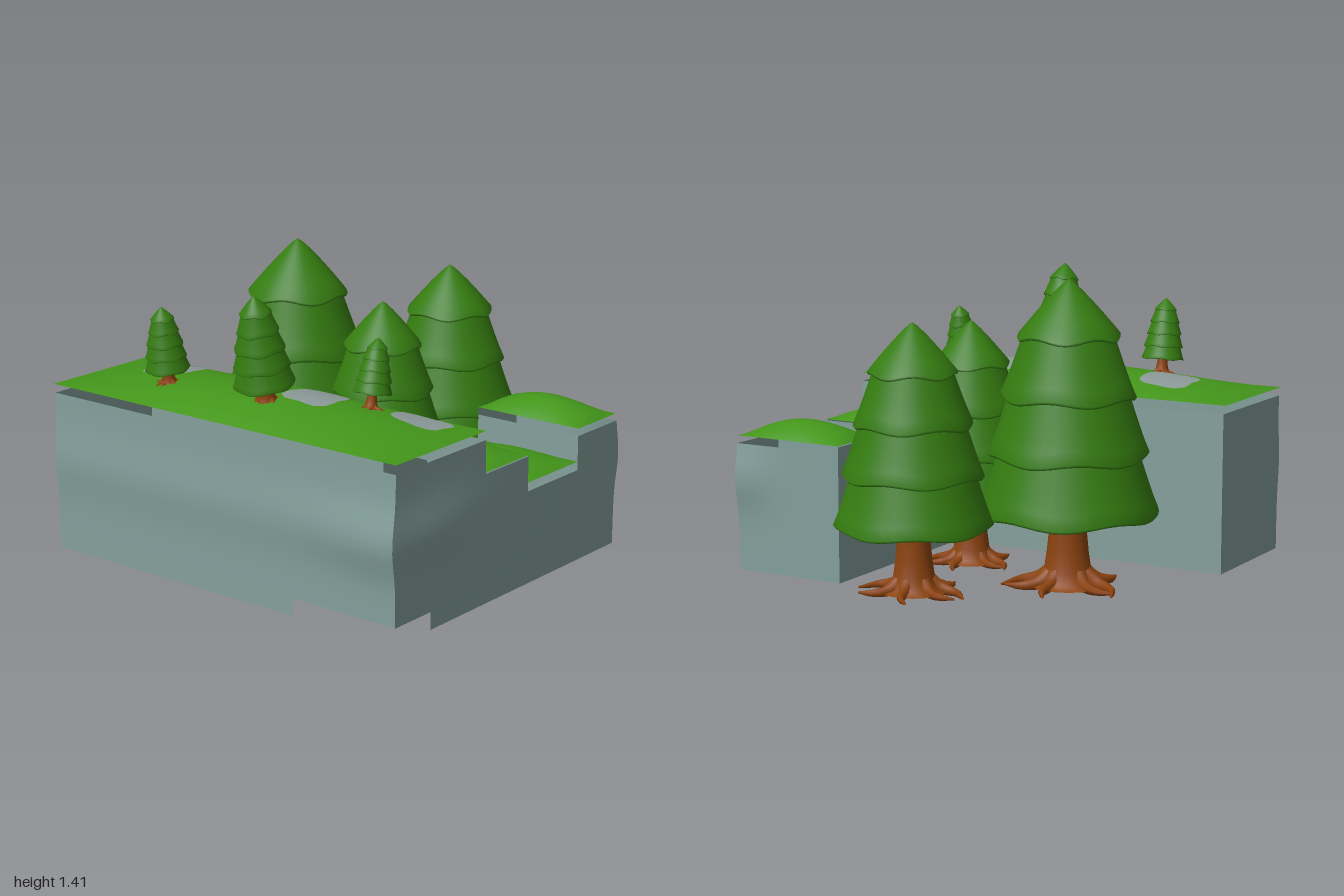
import * as THREE from 'three';
import { mergeGeometries, toCreasedNormals } from 'three/addons/utils/BufferGeometryUtils.js';

const DS = THREE.DoubleSide;
const mat = (color, side = THREE.FrontSide) => new THREE.MeshStandardMaterial({ color, side });
const rockMat = mat(0x84a09c, DS), patchMat = mat(0x8b9a98, DS), grassMat = mat(0x43951a, DS);
const leafMat = mat(0x357c10, DS), barkMat = mat(0x8c430f, DS);
const { lerp } = THREE.MathUtils;

function add(parent, name, geometry, material) {
  const mesh = new THREE.Mesh(geometry, material);
  mesh.name = name;
  parent.add(mesh);
  return mesh;
}

// Move every vertex of a geometry by rule(vector)
function warp(geometry, rule) {
  const p = geometry.attributes.position, v = new THREE.Vector3();
  for (let i = 0; i < p.count; i++) {
    v.fromBufferAttribute(p, i);
    rule(v);
    p.setXYZ(i, v.x, v.y, v.z);
  }
  return geometry;
}

const bell = (d, width) => Math.exp(-((d / width) ** 2));

// Upright panel of rock from (x0,z0) to (x1,z1), swelling outwards halfway up
function panel([x0, z0, x1, z1, y0, y1]) {
  return warp(new THREE.PlaneGeometry(1, 1, 14, 14), v => {
    const u = v.x + 0.5;
    v.set(lerp(x0, x1, u), lerp(y0, y1, v.y + 0.5), lerp(z0, z1, u));
    const swell = bell(v.y - 0.47, 0.13), { x, z } = v;
    v.x -= 0.038 * swell * bell(x + 0.96, 0.1) * (0.45 + 0.55 * bell(z - 0.9, 0.35));
    v.x += 0.03 * swell * bell(x - 0.68, 0.08) * bell(z - 0.97, 0.18);
    v.z += 0.02 * swell * bell(z - 0.97, 0.1) * bell(x + 0.7, 0.35);
  });
}

// Shallow domed sheet of grass; height(x, z) is shared with the stones on it
function domeHeight({ x0, x1, z0, z1, y, h }) {
  const arc = (a, b, t) => Math.max(0, Math.sin(Math.PI * (t - a) / (b - a))) ** 0.8;
  return (x, z) => y + h * arc(x0, x1, x) * arc(z0, z1, z);
}
function grassSheet(s) {
  const height = domeHeight(s);
  const g = warp(new THREE.PlaneGeometry(1, 1, 16, 24), v => {
    const x = lerp(s.x0, s.x1, v.x + 0.5), z = lerp(s.z1, s.z0, v.y + 0.5);
    v.set(x, height(x, z), z);
  });
  g.computeVertexNormals();
  return g;
}

// Root: a tube that thins towards its end
function root(points, r) {
  const path = new THREE.CatmullRomCurve3(points), rings = 12, sides = 7;
  const g = new THREE.TubeGeometry(path, rings, r, sides);
  const p = g.attributes.position, v = new THREE.Vector3();
  for (let i = 0; i < p.count; i++) {
    const t = Math.floor(i / (sides + 1)) / rings, c = path.getPointAt(t);
    v.fromBufferAttribute(p, i).sub(c).multiplyScalar(1 - 0.88 * t).add(c);
    p.setXYZ(i, v.x, v.y, v.z);
  }
  return g;
}

function tree({ name, x, z, base, skirt, top, R, tiers, trunkR, tilt = 0 }) {
  const group = new THREE.Group();
  group.name = name;
  group.position.set(x, base, z);
  group.rotation.z = tilt;
  const y0 = skirt - base, H = top - skirt;
  const P = (r, y) => new THREE.Vector2(r, y);

  // Flared trunk
  const trunk = [[1.9, 0.04], [1.45, 0.1], [1.2, 0.25], [1.06, 0.5], [0.95, 0.8], [0.9, 1.6]];
  add(group, 'trunk', new THREE.LatheGeometry(trunk.map(([r, t]) => P(r * trunkR, t * y0)), 18), barkMat);

  // Spreading, curling roots
  const roots = [], count = 7;
  for (let i = 0; i < count; i++) {
    const a = i / count * Math.PI * 2 + 0.3 * Math.sin(i * 5 + x * 9);
    const bend = (i % 2 ? 1 : -1) * (0.25 + 0.1 * (i % 3));
    const len = R * (0.66 + 0.04 * (i % 3));
    const at = (d, y, turn) => new THREE.Vector3(Math.cos(a + turn) * d, y, Math.sin(a + turn) * d);
    roots.push(root([at(trunkR * 0.7, R * 0.2, 0), at(len * 0.48, R * 0.075, 0),
      at(len * 0.75, R * 0.04, bend * 0.3), at(len, R * 0.025, bend)], trunkR * 0.5));
  }
  add(group, 'roots', mergeGeometries(roots), barkMat);

  // Overlapping skirts of foliage, from the lowest to the tip
  const edge = i => R * ((i + 1) / tiers) ** 0.4;
  const level = i => y0 + H * (1 - (i + 1) / tiers);
  for (let i = tiers - 1; i >= 0; i--) {
    const r = edge(i), lo = level(i), hi = i ? level(i - 1) + H * 0.03 : y0 + H;
    const inner = i ? edge(i - 1) * 0.86 : 0;
    const pts = i === tiers - 1 ? [P(trunkR * 0.5, lo + H * 0.17), P(r * 0.55, lo + H * 0.11)] : [P(r * 0.7, lo + H * 0.05)];
    pts.push(P(r * 0.9, lo + H * 0.025), P(r * 0.97, lo), P(r, lo + H * 0.012));
    for (const u of [0.2, 0.4, 0.6, 0.8, 0.93, 1]) {
      pts.push(P(lerp(r, inner, i ? u ** 0.9 : 1 - (1 - u) ** 0.85), lerp(lo + H * 0.012, hi, u)));
    }
    const skirtGeo = warp(new THREE.LatheGeometry(pts, 40), v => {
      const a = Math.atan2(v.z, v.x), d = Math.hypot(v.x, v.z) / r;
      v.y += H * 0.011 * d * d * Math.sin(5 * a + i * 2.1 + x * 7);
      const w = 1 + 0.012 * Math.sin(4 * a + i * 1.3);
      v.x *= w;
      v.z *= w;
    });
    add(group, 'foliageTier' + (i + 1), skirtGeo, leafMat);
  }
  return group;
}

export function createModel() {
  const model = new THREE.Group();
  model.name = 'forestCliff';

  // L-shaped cliff shell, open above and below, with a low notch at the front left corner
  const W = -0.96, M = -0.34, E = 0.68, F = 0.97, B = -0.98, S = 0.42, lo = 0.04, hi = 0.78;
  const panels = [
    [W, F, -0.72, F, 0.12, hi], [-0.72, F, M, F, lo, hi],
    [M, F, -0.02, F, lo, 0.63], [-0.02, F, 0.37, F, lo, 0.47], [0.37, F, E, F, lo, 0.63],
    [E, F, E, S, lo, 0.63],
    [E, S, 0.37, S, lo, 0.66], [0.37, S, -0.02, S, lo, 0.5], [-0.02, S, M, S, lo, 0.63],
    [M, S, M, B, lo, hi], [M, B, W, B, lo, hi],
    [W, B, W, S, lo, hi], [W, S, W, F, 0.12, hi],
    [M, F, M, S, 0.63, hi], [-0.02, F, -0.02, S, 0.47, 0.63], [0.37, S, 0.37, F, 0.47, 0.63],
  ];
  add(model, 'cliffWalls', toCreasedNormals(mergeGeometries(panels.map(panel)), 0.6), rockMat);

  // Grass on the plateau and the three steps
  const plateau = { x0: W, x1: M, z0: -0.99, z1: F, y: 0.82, h: 0.085 };
  const sheets = {
    plateauGrass: plateau,
    upperStepGrass: { x0: M, x1: -0.02, z0: S, z1: F, y: 0.635, h: 0.06 },
    lowerStepGrass: { x0: -0.02, x1: 0.37, z0: S, z1: F, y: 0.51, h: 0.055 },
    endStepGrass: { x0: 0.37, x1: E, z0: S, z1: F, y: 0.665, h: 0.075 },
  };
  for (const [name, s] of Object.entries(sheets)) add(model, name, grassSheet(s), grassMat);

  // Flat stones lying on the plateau
  const height = domeHeight(plateau);
  [[-0.58, -0.59, 0.125, 0.13], [-0.59, 0.25, 0.13, 0.13], [-0.48, 0.73, 0.09, 0.14]].forEach(([cx, cz, rx, rz], i) => {
    const g = warp(new THREE.RingGeometry(0.001, 1, 20, 5), v => {
      const a = Math.atan2(v.y, v.x);
      const k = 1.04 - 0.1 * Math.cos(4 * a) + 0.06 * Math.sin(3 * a + i * 2);
      const x = cx + v.x * rx * k, z = cz - v.y * rz * k;
      v.set(x, height(x, z) + 0.007, z);
    });
    g.computeVertexNormals();
    add(model, 'flatStone' + (i + 1), g, patchMat);
  });

  // Tall trees behind the steps and small leaning ones on the plateau
  [
    { name: 'tallTree', x: 0.07, z: -0.41, base: 0, skirt: 0.34, top: 1.4, R: 0.405, tiers: 4, trunkR: 0.09 },
    { name: 'frontTree', x: 0.05, z: 0.11, base: 0.045, skirt: 0.35, top: 1.18, R: 0.31, tiers: 4, trunkR: 0.07 },
    { name: 'sideTree', x: 0.64, z: 0.05, base: 0.035, skirt: 0.335, top: 1.24, R: 0.35, tiers: 4, trunkR: 0.078 },
    { name: 'plateauTree', x: -0.745, z: 0.1, base: 0.875, skirt: 0.965, top: 1.37, R: 0.135, tiers: 5, trunkR: 0.036, tilt: 0.16 },
    { name: 'backPlateauTree', x: -0.76, z: -0.46, base: 0.87, skirt: 0.94, top: 1.23, R: 0.1, tiers: 5, trunkR: 0.026, tilt: 0.12 },
    { name: 'littleTree', x: -0.505, z: 0.48, base: 0.865, skirt: 0.935, top: 1.175, R: 0.085, tiers: 5, trunkR: 0.022, tilt: -0.17 },
  ].forEach(t => model.add(tree(t)));

  return model;
}
